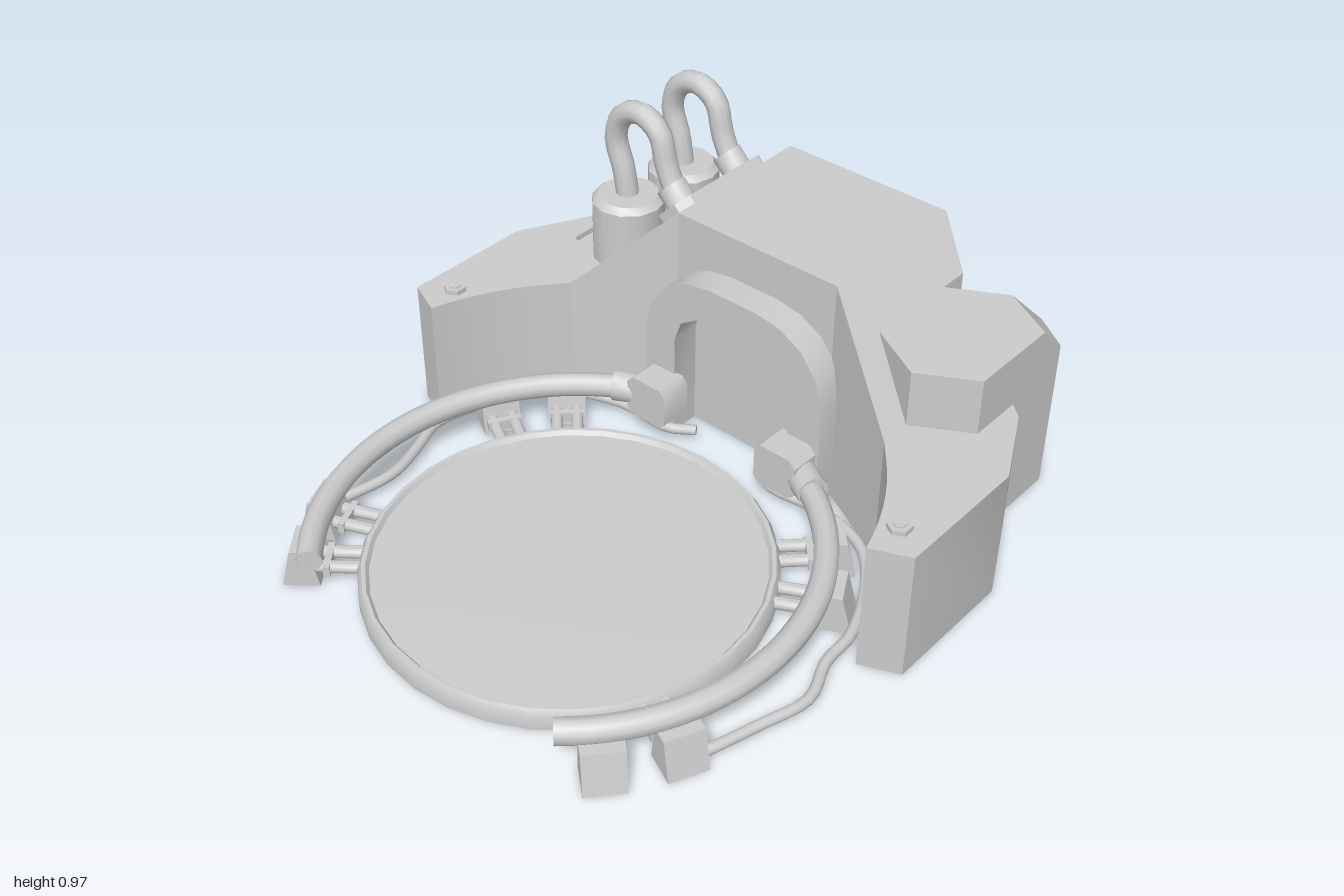
import * as THREE from 'three';
import { toCreasedNormals } from 'three/addons/utils/BufferGeometryUtils.js';
import { ConvexGeometry } from 'three/addons/geometries/ConvexGeometry.js';

const grey = new THREE.MeshStandardMaterial({ color: 0xcccccc, side: THREE.DoubleSide });
const PAD_Z = 0.387;

function add(parent, name, geometry, x = 0, y = 0, z = 0) {
  const mesh = new THREE.Mesh(toCreasedNormals(geometry, 0.7), grey);
  mesh.name = name;
  mesh.position.set(x, y, z);
  parent.add(mesh);
  return mesh;
}

const shapeOf = (pts) => new THREE.Shape(pts.map(([a, b]) => new THREE.Vector2(a, b)));
const extrude = (pts, depth) => new THREE.ExtrudeGeometry(shapeOf(pts), { depth, bevelEnabled: false });
const flip = (pts) => pts.map(([x, y]) => [-x, y]).reverse();

// Upright prism over a plan of [x, z] points; top(x) gives the roof height.
function prism(plan, top, bottom = 0) {
  const g = extrude(plan.map(([x, z]) => [x, -z]), 1).rotateX(-Math.PI / 2);
  const p = g.attributes.position;
  for (let i = 0; i < p.count; i++) p.setY(i, p.getY(i) > 0.5 ? top(p.getX(i)) : bottom);
  return g;
}

// Open shell: removes the faces on the ground and on the given [axis, position] planes.
function openShell(geometry, ...planes) {
  const p = geometry.attributes.position;
  const tests = [['y', 0], ...planes].map(([axis, at]) => (v) => Math.abs(v[axis] - at) < 1e-4);
  const kept = [];
  for (let i = 0; i < p.count; i += 3) {
    const tri = [0, 1, 2].map((k) => new THREE.Vector3().fromBufferAttribute(p, i + k));
    if (!tests.some((test) => tri.every(test))) kept.push(...tri);
  }
  return new THREE.BufferGeometry().setFromPoints(kept);
}

// Round tube along a curve, closed at both ends.
function pipe(parent, name, curve, radius, segments, sides = 10) {
  const group = new THREE.Group();
  group.name = name;
  add(group, name + 'Tube', new THREE.TubeGeometry(curve, segments, radius, sides));
  for (const t of [0, 1]) {
    const cap = add(group, name + 'End', new THREE.CircleGeometry(radius, sides));
    const at = curve.getPoint(t);
    cap.position.copy(at);
    cap.lookAt(at.clone().addScaledVector(curve.getTangent(t), t ? 1 : -1));
  }
  parent.add(group);
}
const spline = (pts) => new THREE.CatmullRomCurve3(pts.map((p) => new THREE.Vector3(...p)));

const roof = (x) => THREE.MathUtils.clamp(1.04 - Math.abs(x), 0.43, 0.74);

function buildHousing(root) {
  // Middle block with an arched recess in the rear
  const core = [[-0.3, -0.87], [0.3, -0.87], [0.3, -0.43], [-0.3, -0.43]];
  const sides = [['x', 0.3], ['x', -0.3], ['z', -0.87]];
  add(root, 'housingCore', openShell(prism(core, roof), ...sides));
  const half = [[0.275, 0], [0.275, 0.42], [0.21, 0.52]];
  const opening = [...half, ...flip(half)];
  const slab = extrude([...opening, [-0.3, 0], [-0.3, 0.74], [0.3, 0.74], [0.3, 0]], 0.11).translate(0, 0, -0.98);
  add(root, 'rearWall', openShell(slab, ...sides));
  add(root, 'recessPanel', new THREE.ShapeGeometry(shapeOf(opening)).rotateY(Math.PI), 0, 0, -0.87);

  // Curved inner wall of the wings, concentric with the pad
  const arc = [];
  for (let i = 0; i <= 8; i++) {
    const a = THREE.MathUtils.lerp(-0.823, -0.308, i / 8);
    const r = THREE.MathUtils.lerp(0.893, 0.876, i / 8);
    arc.push([r * Math.cos(a), PAD_Z + r * Math.sin(a)]);
  }
  arc[0] = [0.61, -0.27];
  const shoulder = [[0.3, -0.43], [0.61, -0.27], [0.61, -0.375], [0.43, -0.475], [0.43, -0.9], [0.3, -0.98]];
  const wing = [...arc, [0.955, 0.07], [0.955, -0.375], [0.83, -0.62], [0.785, -0.66],
    [0.785, -0.475], [0.61, -0.375]];
  for (const s of [1, -1]) {
    const mirror = (pts) => pts.map(([x, z]) => [s * x, z]);
    add(root, 'shoulder', openShell(prism(mirror(shoulder), roof), ['x', s * 0.3], ['x', s * 0.61]));
    add(root, 'wing', openShell(prism(mirror(wing), () => 0.43), ['x', s * 0.61]));
    add(root, 'bolt', new THREE.CylinderGeometry(0.037, 0.037, 0.04, 6), s * 0.855, 0.426, 0);
    add(root, 'boltCap', new THREE.CylinderGeometry(0.02, 0.02, 0.006, 6), s * 0.855, 0.447, 0);
  }

  // Arch frame on the front wall
  const outer = [[0.345, 0], [0.345, 0.36], [0.32, 0.46], [0.26, 0.54], [0.18, 0.585], [0.09, 0.6]];
  const inner = [[0.225, 0], [0.225, 0.36], [0.2, 0.43], [0.14, 0.47]];
  const arch = [...outer, ...flip(outer), ...flip(inner).reverse(), ...inner.slice().reverse()];
  add(root, 'archFrame', extrude(arch, 0.1), 0, 0, -0.43);
}

function buildColumn(root) {
  // Six-sided column with a sloping rear roof
  const front = [[0.43, -0.475], [0.61, -0.375], [0.785, -0.475]];
  const back = [[0.785, -0.9], [0.67, -0.98], [0.55, -0.98], [0.43, -0.9]];
  const crest = [[0.785, -0.79], [0.61, -0.89], [0.43, -0.79]];
  const at = (pts, y) => pts.map(([x, z]) => new THREE.Vector3(x, y, z));
  add(root, 'column', openShell(new ConvexGeometry([
    ...at(front, 0), ...at(back, 0), ...at(front, 0.615), ...at(back, 0.51), ...at(crest, 0.615)])));
}

function buildCanisters(root) {
  // Six-sided shelf carrying two canisters
  const hex = [[-0.61, -1], [-0.785, -0.9], [-0.785, -0.475], [-0.61, -0.375], [-0.43, -0.475], [-0.43, -0.9]];
  add(root, 'canisterShelf', prism(hex, () => 0.41, 0.37));

  // Socket plate and round sockets on the sloping roof
  const socket = new THREE.Group();
  socket.name = 'hoseSockets';
  socket.position.set(-0.365, 0.675, -0.695);
  socket.rotation.z = Math.PI / 4;
  const c = 0.04, w = 0.065, h = 0.205;
  add(socket, 'socketPlate', prism([[-w, -h], [w - c, -h], [w, c - h], [w, h - c], [w - c, h], [-w, h]], () => 0.03));
  for (const z of [-0.125, 0.145]) {
    add(socket, 'socketCollar', new THREE.CylinderGeometry(0.05, 0.05, 0.08, 12), -0.01, 0.05, z);
  }
  root.add(socket);

  const profile = [[0, 0], [0.1, 0], [0.12, 0.02], [0.12, 0.615], [0.1, 0.635], [0, 0.635]];
  for (const z of [-0.82, -0.55]) {
    add(root, 'canister', new THREE.LatheGeometry(profile.map((p) => new THREE.Vector2(...p)), 12), -0.615, 0, z);
    pipe(root, 'hose', spline([
      [-0.615, 0.61, z], [-0.635, 0.72, z], [-0.665, 0.82, z], [-0.635, 0.905, z], [-0.56, 0.938, z],
      [-0.485, 0.9, z], [-0.455, 0.8, z], [-0.42, 0.725, z], [-0.37, 0.675, z],
    ]), 0.037, 24);
  }
}

function buildPad(root) {
  // Round pad with a raised rim and slightly domed top
  const profile = [[0, 0.012], [0.57, 0.012], [0.58, 0], [0.6, 0], [0.612, 0.012], [0.612, 0.062], [0.6, 0.08],
    [0.588, 0.08], [0.578, 0.066], [0.4, 0.07], [0, 0.072]];
  add(root, 'pad', new THREE.LatheGeometry(profile.map((p) => new THREE.Vector2(...p)), 32), 0, 0, PAD_Z);
}

function buildConnector(root, angle) {
  // Clip block with two prongs plugged into the pad rim
  const group = new THREE.Group();
  group.name = 'connector';
  group.position.z = PAD_Z;
  group.rotation.y = -angle;
  add(group, 'clipBlock', extrude([[0.72, 0], [0.83, 0], [0.8, 0.125], [0.745, 0.125]], 0.12), 0, 0, -0.06);
  for (const z of [-0.032, 0.032]) {
    add(group, 'prong', new THREE.CylinderGeometry(0.019, 0.019, 0.14, 10).rotateZ(Math.PI / 2), 0.66, 0.05, z);
  }
  add(group, 'prongBar', new THREE.BoxGeometry(0.02, 0.035, 0.11), 0.7, 0.05, 0);
  root.add(group);
}

function buildRails(root) {
  const R = 0.737, y = 0.148;
  for (const s of [1, -1]) {
    // Curved rail around the pad
    const pts = [];
    for (let i = 0; i <= 16; i++) {
      const a = THREE.MathUtils.lerp(-1.14, 0.86, i / 16);
      pts.push([s * R * Math.cos(a), y, PAD_Z + R * Math.sin(a)]);
    }
    pipe(root, 'rail', spline(pts), 0.038, 32);

    // Collar and clamp holding the rail to the arch
    const collar = add(root, 'railCollar', new THREE.CylinderGeometry(0.05, 0.05, 0.09, 12).rotateZ(Math.PI / 2), s * 0.36, y, -0.26);
    collar.rotation.y = -s * 0.5;
    const clamp = [[0.18, 0.1], [0.2, 0.08], [0.31, 0.08], [0.335, 0.1], [0.335, 0.2], [0.31, 0.225], [0.2, 0.225], [0.18, 0.2]];
    add(root, 'railClamp', extrude(clamp.map(([x, h]) => [s * x, h]), 0.11), 0, 0, -0.34);

    for (const deg of [24.5, 40, -29, -45.5]) {
      const a = THREE.MathUtils.degToRad(deg);
      buildConnector(root, s > 0 ? a : Math.PI - a);
    }
  }

  // Loose cables from the arch to the front connectors
  const cables = [
    [[0.12, -0.34], [0.2, -0.28], [0.4, -0.29], [0.58, -0.24], [0.7, -0.1], [0.78, 0.08], [0.79, 0.2],
      [0.84, 0.34], [0.8, 0.5], [0.75, 0.67]],
    [[-0.14, -0.34], [-0.22, -0.29], [-0.4, -0.29], [-0.55, -0.24], [-0.68, -0.12], [-0.75, 0.02], [-0.785, 0.18],
      [-0.735, 0.32], [-0.7, 0.45], [-0.735, 0.67]],
  ];
  for (const pts of cables) pipe(root, 'cable', spline(pts.map(([x, z]) => [x, 0.04, z])), 0.017, 40);
}

export function createModel() {
  const root = new THREE.Group();
  root.name = 'padStation';
  buildHousing(root);
  buildColumn(root);
  buildCanisters(root);
  buildPad(root);
  buildRails(root);
  return root;
}
